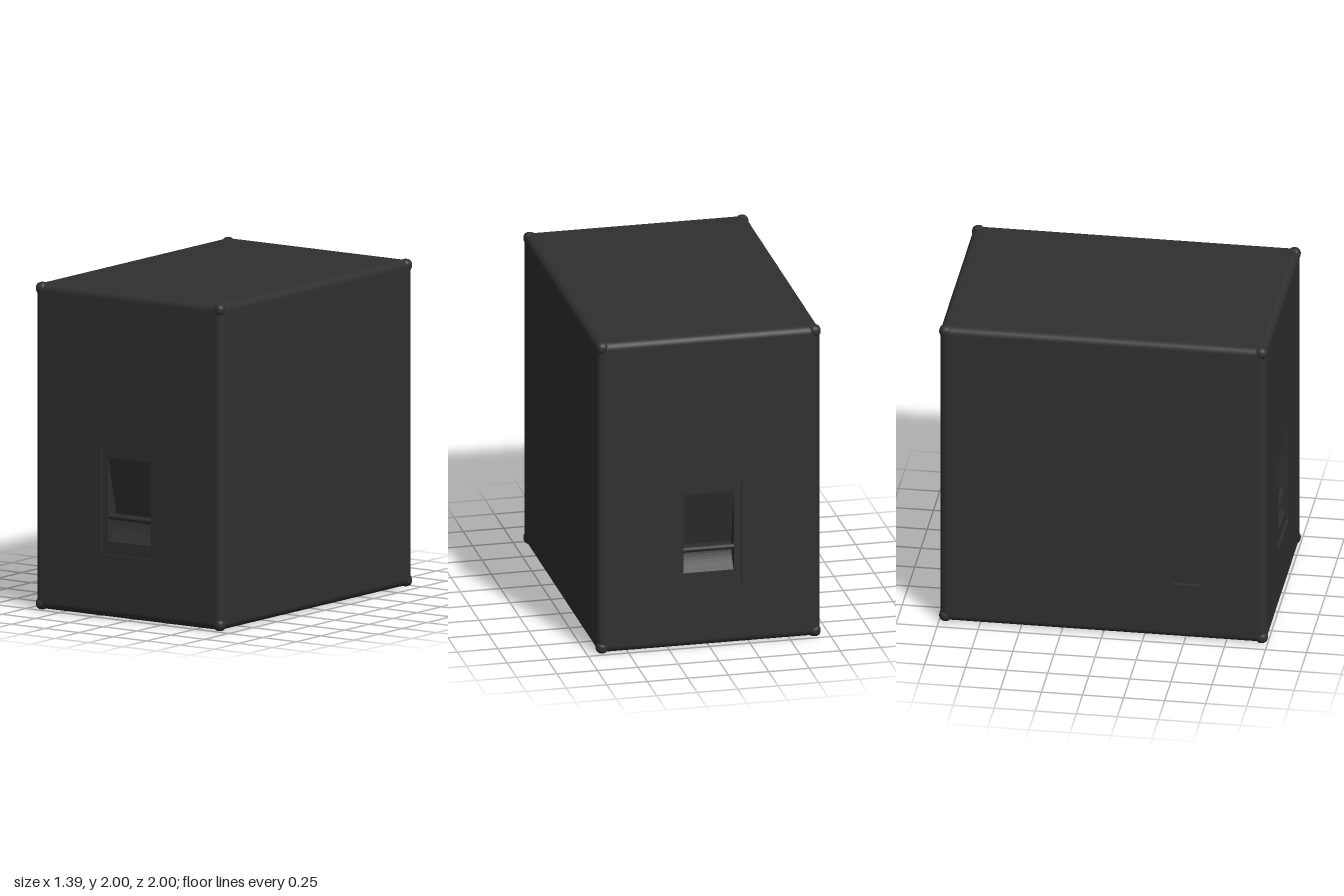
import * as THREE from 'three';
import { RoundedBoxGeometry } from 'three/addons/geometries/RoundedBoxGeometry.js';

const W = 1.38, H = 1.99, D = 1.99, R = 0.045, LIP = 0.015;

const rectPoints = ([x0, y0, x1, y1]) =>
  [[x0, y0], [x1, y0], [x1, y1], [x0, y1]].map(([x, y]) => new THREE.Vector2(x, y));

// Flat plate with a rectangular opening; its front lies at z = front
function plate(outer, opening, depth, front) {
  const shape = new THREE.Shape(rectPoints(outer));
  if (opening) shape.holes.push(new THREE.Path(rectPoints(opening).reverse()));
  return new THREE.ExtrudeGeometry(shape, { depth, bevelEnabled: false }).translate(0, 0, front - depth);
}

// Rounded shell without the flat faces that carry recesses
function shellGeometry() {
  const src = new RoundedBoxGeometry(W, H, D, 6, R);
  const pos = src.attributes.position, nor = src.attributes.normal;
  const p = [], n = [];
  for (let i = 0; i < pos.count; i += 3) {
    let open = true;
    for (let k = i; k < i + 3; k++) {
      if (!(Math.abs(nor.getZ(k)) > 0.9999 || nor.getX(k) < -0.9999)) open = false;
    }
    if (open) continue;
    for (let k = i; k < i + 3; k++) {
      p.push(pos.getX(k), pos.getY(k), pos.getZ(k));
      n.push(nor.getX(k), nor.getY(k), nor.getZ(k));
    }
  }
  const g = new THREE.BufferGeometry();
  g.setAttribute('position', new THREE.Float32BufferAttribute(p, 3));
  g.setAttribute('normal', new THREE.Float32BufferAttribute(n, 3));
  return g;
}

export function createModel() {
  const model = new THREE.Group();
  model.name = 'speakerCabinet';
  const material = new THREE.MeshStandardMaterial({ color: 0x303030 });

  const add = (parent, name, geometry) => {
    const mesh = new THREE.Mesh(geometry, material);
    mesh.name = name;
    parent.add(mesh);
    return mesh;
  };

  add(model, 'cabinetShell', shellGeometry()).position.y = 1;

  // Corner protectors
  const cornerGeometry = new RoundedBoxGeometry(0.075, 0.075, 0.075, 5, 0.034);
  for (const x of [-1, 1]) for (const y of [-1, 1]) for (const z of [-1, 1]) {
    add(model, 'cornerProtector', cornerGeometry)
      .position.set(x * (0.694 - 0.0375), 1 + y * (1 - 0.0375), z * (1 - 0.0375));
  }

  // Front and back panels, each with a sunken handle
  const hw = 0.157, yBottom = 0.47, yTop = 0.98;
  const panel = [-W / 2 + R, 0.005 + R, W / 2 - R, 1.995 - R];
  const sunken = [-0.2, 0.39, 0.2, 1.05];
  const scoop = new THREE.Shape();
  scoop.moveTo(-LIP, yTop);
  scoop.lineTo(-0.1, 0.63);
  scoop.quadraticCurveTo(-0.1, 0.55, -0.03, yBottom);
  scoop.lineTo(-0.15, yBottom);
  scoop.lineTo(-0.15, yTop);
  const scoopGeometry = new THREE.ExtrudeGeometry(scoop, { depth: 2 * hw, bevelEnabled: false, curveSegments: 10 })
    .rotateY(-Math.PI / 2).translate(hw, 0, 0);
  const barGeometry = new THREE.CylinderGeometry(0.017, 0.017, 2 * hw, 20)
    .rotateZ(Math.PI / 2).translate(0, 0.618, -LIP - 0.02);

  for (const [name, angle] of [['front', 0], ['back', Math.PI]]) {
    const side = new THREE.Group();
    side.name = name + 'Panel';
    side.rotation.y = angle;
    add(side, 'panelFace', plate(panel, sunken, LIP, 0));
    add(side, 'handleSurround', plate([-0.24, 0.35, 0.24, 1.09], [-hw, yBottom, hw, yTop], 0.14, -LIP));
    add(side, 'handleScoop', scoopGeometry);
    add(side, 'handleBar', barGeometry);
    for (const child of side.children) child.position.z = D / 2;
    model.add(side);
  }

  // Side panel with a small connector recess
  const connector = new THREE.Group();
  connector.name = 'connectorPanel';
  connector.rotation.y = -Math.PI / 2;
  connector.position.x = -W / 2;
  add(connector, 'panelFace',
    plate([-D / 2 + R, 0.005 + R, D / 2 - R, 1.995 - R], [0.42, 0.365, 0.59, 0.635], 0.03, 0));
  add(connector, 'connectorPlate', plate([0.4, 0.345, 0.61, 0.655], null, 0.01, -0.03));
  model.add(connector);

  return model;
}
